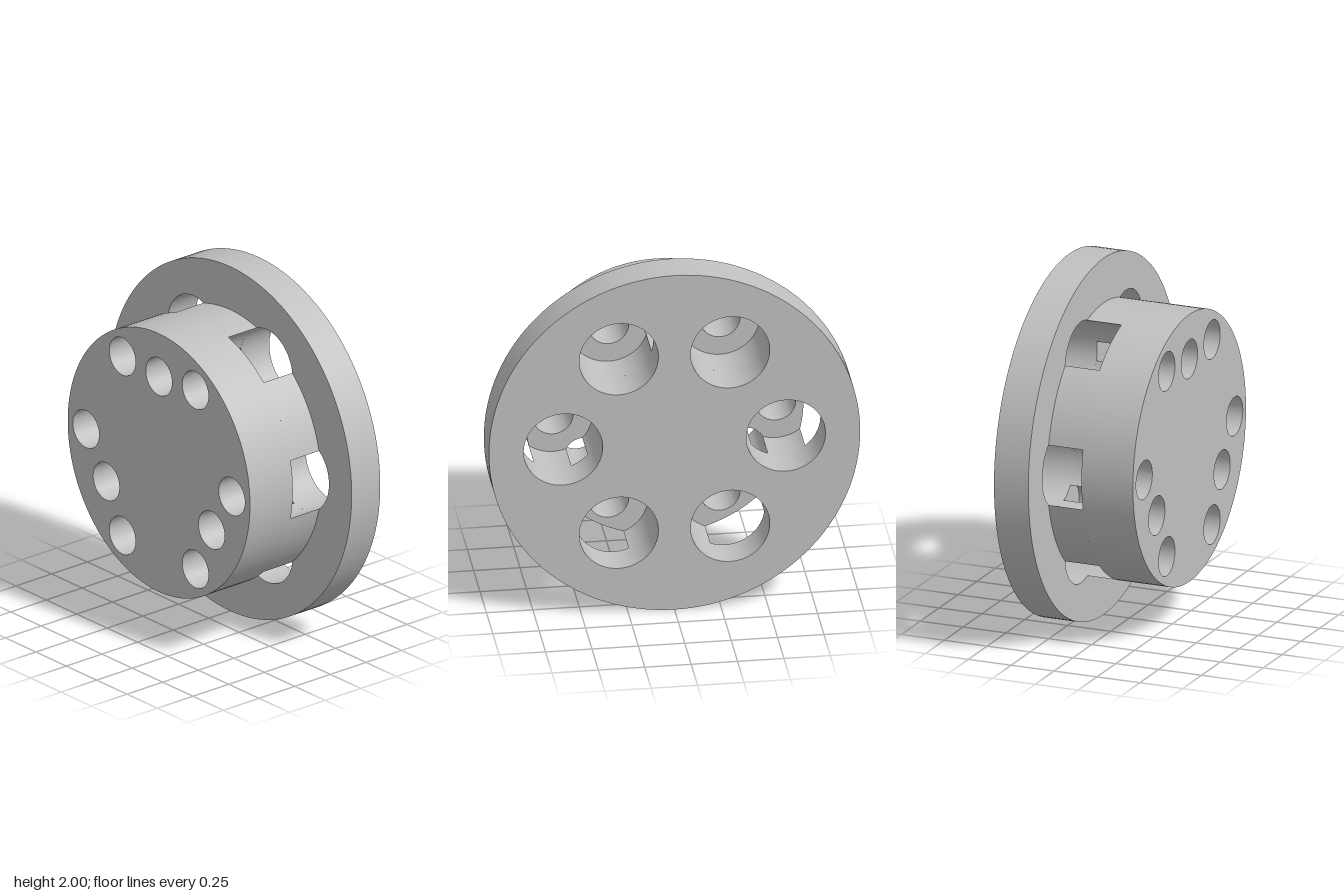
import * as THREE from 'three';
import { toCreasedNormals } from 'three/addons/utils/BufferGeometryUtils.js';

const HUB_R = 0.75, DISC_R = 1;
const BORE_R = 0.213, BORE_AT = 0.6;   // six large bores
const PIN_R = 0.108, PIN_AT = 0.5;     // pin holes
const rad = THREE.MathUtils.degToRad;
const polar = (r, deg) => new THREE.Vector2(r * Math.cos(rad(deg)), r * Math.sin(rad(deg)));
const centre = new THREE.Vector2();
const boreAngles = [0, 60, 120, 180, 240, 300];
const pinAngles = [90, 210, 330];

// half angle of the window that each bore cuts in the hub rim, in degrees
const cut = THREE.MathUtils.radToDeg(Math.acos(
  (HUB_R ** 2 + BORE_AT ** 2 - BORE_R ** 2) / (2 * HUB_R * BORE_AT)));

// points where a pin hole and a bore cross: [nearest the hub axis, farthest from it]
function crossing(pinDeg, boreDeg) {
  const bore = polar(BORE_AT, boreDeg);
  const dir = polar(PIN_AT, pinDeg).sub(bore);
  const d = dir.length();
  dir.normalize();
  const a = (d * d + BORE_R ** 2 - PIN_R ** 2) / (2 * d);
  const h = Math.sqrt(BORE_R ** 2 - a * a);
  const mid = bore.addScaledVector(dir, a);
  const side = new THREE.Vector2(-dir.y, dir.x).multiplyScalar(h);
  return [mid.clone().add(side), mid.clone().sub(side)].sort((p, q) => p.length() - q.length());
}

// arc about c from one point to another, leaving out the last point
function arc(points, c, from, to, clockwise) {
  const r = from.distanceTo(c);
  const a0 = Math.atan2(from.y - c.y, from.x - c.x);
  let sweep = Math.atan2(to.y - c.y, to.x - c.x) - a0;
  if (clockwise && sweep > 0) sweep -= 2 * Math.PI;
  if (!clockwise && sweep < 0) sweep += 2 * Math.PI;
  const n = Math.max(4, Math.ceil(Math.abs(sweep) / 0.06));
  for (let i = 0; i < n; i++) {
    const a = a0 + sweep * i / n;
    points.push(new THREE.Vector2(c.x + r * Math.cos(a), c.y + r * Math.sin(a)));
  }
}

function round(c, r, n) {
  const points = [];
  for (let i = 0; i < n; i++) points.push(polar(r, i * 360 / n).add(c));
  return points;
}

function plate(r, holes) {
  const shape = new THREE.Shape(round(centre, r, 128));
  for (const [at, deg, size] of holes) {
    shape.holes.push(new THREE.Path(round(polar(at, deg), size, 64)));
  }
  return shape;
}

// middle of the hub, open where the bores break through the rim
function coreShape() {
  const points = [];
  for (const e of pinAngles) {
    const before = crossing(e, e - 30)[0], after = crossing(e, e + 30)[0];
    const rimStart = polar(HUB_R, e + 30 + cut), rimEnd = polar(HUB_R, e + 90 - cut);
    arc(points, polar(PIN_AT, e), before, after, true);
    arc(points, polar(BORE_AT, e + 30), after, rimStart, true);
    arc(points, centre, rimStart, rimEnd, false);
    arc(points, polar(BORE_AT, e + 90), rimEnd, crossing(e + 120, e + 90)[0], true);
  }
  return new THREE.Shape(points);
}

// rim piece left standing outside a pin hole, between two bores
function rimShape(e) {
  const points = [];
  const before = crossing(e, e - 30)[1], after = crossing(e, e + 30)[1];
  const start = polar(HUB_R, e - 30 + cut), end = polar(HUB_R, e + 30 - cut);
  arc(points, centre, start, end, false);
  arc(points, polar(BORE_AT, e + 30), end, after, true);
  arc(points, polar(PIN_AT, e), after, before, true);
  arc(points, polar(BORE_AT, e - 30), before, start, true);
  return new THREE.Shape(points);
}

export function createModel() {
  const group = new THREE.Group();
  const grey = new THREE.MeshStandardMaterial({ color: 0xc0c0c0 });
  grey.name = 'plain grey';

  // extrude a profile along x
  function add(name, shape, x0, x1) {
    let geo = new THREE.ExtrudeGeometry(shape, { depth: x1 - x0, bevelEnabled: false });
    geo.rotateY(Math.PI / 2);
    geo.translate(x0, 1, 0);
    geo = toCreasedNormals(geo, 0.5);
    const mesh = new THREE.Mesh(geo, grey);
    mesh.name = name;
    group.add(mesh);
  }

  // flange with six bores
  add('flange', plate(DISC_R, boreAngles.map(a => [BORE_AT, a, BORE_R])), 0.15, 0.35);
  // hub end with nine small holes
  add('hubEnd', plate(HUB_R, [
    ...boreAngles.map(a => [BORE_AT, a, PIN_R]),
    ...pinAngles.map(a => [PIN_AT, a, PIN_R]),
  ]), -0.35, -0.05);
  // windowed part of the hub
  add('hubCore', coreShape(), -0.05, 0.15);
  pinAngles.forEach((e, i) => add('hubRim' + (i + 1), rimShape(e), -0.05, 0.15));
  return group;
}
